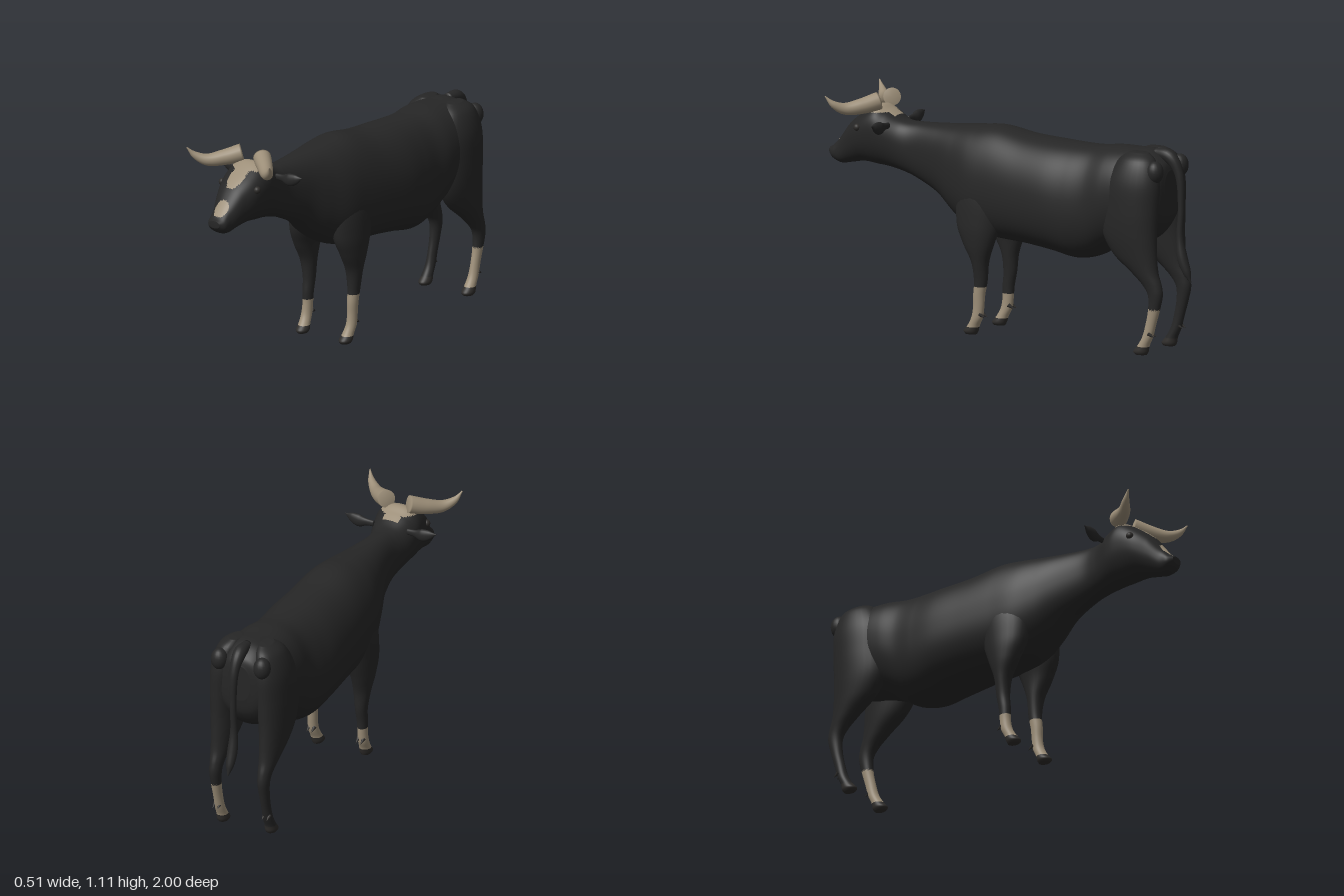
import * as THREE from 'three';

const paint = (name, color) => Object.assign(new THREE.MeshStandardMaterial({ color }), { name });

// Smooth value between rows of numbers, t from 0 to 1
function blend(rows, t) {
  const f = t * (rows.length - 1), i = Math.min(Math.floor(f), rows.length - 2), s = f - i;
  const row = k => rows[THREE.MathUtils.clamp(k, 0, rows.length - 1)];
  return rows[0].map((_, c) => {
    const [a, b, d, e] = [row(i - 1)[c], row(i)[c], row(i + 1)[c], row(i + 2)[c]];
    return b + 0.5 * s * (d - a + s * (2 * a - 5 * b + 4 * d - e + s * (3 * (b - d) + e - a)));
  });
}

// Closed skin over rings; pick(x, y, z) gives the material index of each face
function loft(steps, sides, ringPoint, materials, pick = () => 0) {
  const pts = [];
  for (let i = 0; i <= steps; i++)
    for (let j = 0; j < sides; j++) pts.push(ringPoint(i / steps, (j / sides) * Math.PI * 2));
  const middle = from => {
    const m = new THREE.Vector3();
    for (let j = 0; j < sides; j++) m.addScaledVector(pts[from + j], 1 / sides);
    return m;
  };
  const last = steps * sides, start = pts.length, end = start + 1;
  pts.push(middle(0), middle(last));
  const faces = materials.map(() => []);
  const add = (a, b, c) => {
    const m = pts[a].clone().add(pts[b]).add(pts[c]).divideScalar(3);
    faces[pick(m.x, m.y, m.z)].push(a, b, c);
  };
  for (let j = 0; j < sides; j++) {
    const k = (j + 1) % sides;
    add(start, k, j);
    add(end, last + j, last + k);
    for (let i = 0; i < steps; i++) {
      const r = i * sides, n = r + sides;
      add(r + j, r + k, n + j);
      add(r + k, n + k, n + j);
    }
  }
  const geo = new THREE.BufferGeometry().setFromPoints(pts);
  geo.setIndex(faces.flat());
  let offset = 0;
  faces.forEach((f, m) => { geo.addGroup(offset, f.length, m); offset += f.length; });
  geo.computeVertexNormals();
  return new THREE.Mesh(geo, materials);
}

// Tapered tube along rows of [x, y, z, radius]
function taper(rows, material, steps = 40, sides = 20) {
  const curve = new THREE.CatmullRomCurve3(rows.map(r => new THREE.Vector3(r[0], r[1], r[2])));
  const ts = Array.from({ length: steps + 1 }, (_, i) => i / steps);
  const frames = curve.computeFrenetFrames(steps);
  return loft(steps, sides, (t, a) => {
    const i = Math.round(t * steps), r = Math.max(blend(rows, ts[i])[3], 0.001);
    // frames follow arc length, so map back to the row parameter
    const u = curve.getUtoTmapping(ts[i]);
    const radius = Math.max(blend(rows, u)[3], 0.001) || r;
    return curve.getPoint(u)
      .addScaledVector(frames.normals[i], radius * Math.cos(a))
      .addScaledVector(frames.binormals[i], radius * Math.sin(a));
  }, [material]);
}

// Body sections: z, top, bottom, half width, upper widening
const BODY = [
  [-0.89, 0.88, 0.7, 0.06, 0], [-0.87, 0.925, 0.62, 0.12, 0], [-0.8, 0.972, 0.54, 0.16, 0],
  [-0.7, 0.975, 0.52, 0.185, 0], [-0.6, 0.975, 0.485, 0.195, -0.03], [-0.5, 0.965, 0.43, 0.195, -0.08],
  [-0.4, 0.965, 0.413, 0.208, -0.1], [-0.28, 0.97, 0.435, 0.217, -0.1], [-0.12, 0.98, 0.455, 0.21, -0.1],
  [0.04, 1.005, 0.465, 0.198, -0.1], [0.16, 0.998, 0.485, 0.185, -0.08], [0.27, 0.988, 0.55, 0.15, -0.05],
  [0.38, 0.98, 0.64, 0.112, 0], [0.5, 0.975, 0.7, 0.088, 0], [0.58, 0.98, 0.728, 0.092, 0.05],
  [0.66, 1.02, 0.745, 0.112, 0.12], [0.72, 1.043, 0.75, 0.117, 0.15], [0.8, 1.0, 0.757, 0.108, 0.15],
  [0.87, 0.945, 0.745, 0.082, 0.12], [0.93, 0.87, 0.735, 0.06, 0], [0.97, 0.825, 0.75, 0.052, 0],
  [0.995, 0.81, 0.775, 0.032, 0],
];

// Leg sections from the ground up: y, x, z, x radius, z radius
const FRONT_LEG = [
  [0.005, 0.13, 0.145, 0.022, 0.03], [0.02, 0.13, 0.145, 0.031, 0.037], [0.05, 0.132, 0.128, 0.027, 0.03],
  [0.09, 0.135, 0.108, 0.025, 0.029], [0.14, 0.135, 0.1, 0.024, 0.028], [0.2, 0.135, 0.097, 0.026, 0.03],
  [0.27, 0.135, 0.088, 0.03, 0.034], [0.36, 0.138, 0.09, 0.042, 0.044], [0.45, 0.14, 0.098, 0.055, 0.082],
  [0.55, 0.13, 0.1, 0.07, 0.12], [0.7, 0.11, 0.08, 0.08, 0.14], [0.85, 0.08, 0.04, 0.07, 0.1],
  [0.95, 0.05, 0.03, 0.04, 0.05],
];
const HIND_LEG = [
  [0, 0.13, -0.8, 0.022, 0.03], [0.015, 0.13, -0.8, 0.03, 0.039], [0.045, 0.13, -0.815, 0.027, 0.03],
  [0.09, 0.13, -0.838, 0.024, 0.027], [0.15, 0.13, -0.855, 0.022, 0.027], [0.22, 0.13, -0.872, 0.024, 0.03],
  [0.29, 0.13, -0.88, 0.028, 0.038], [0.34, 0.13, -0.862, 0.033, 0.05], [0.4, 0.13, -0.82, 0.045, 0.073],
  [0.48, 0.13, -0.767, 0.06, 0.118], [0.58, 0.13, -0.737, 0.072, 0.145], [0.7, 0.125, -0.737, 0.08, 0.15],
  [0.83, 0.115, -0.745, 0.082, 0.145], [0.93, 0.1, -0.76, 0.062, 0.1], [0.97, 0.08, -0.76, 0.03, 0.05],
];

export function createModel() {
  const cow = new THREE.Group();
  cow.name = 'cow';
  const coat = paint('black coat', 0x262626), cream = paint('cream', 0x9c8e78), hoof = paint('dark hoof', 0x2d2b29);
  const put = (name, mesh, parent = cow) => { mesh.name = name; parent.add(mesh); return mesh; };

  // Body, neck and head in one skin, with the blaze, poll patch and muzzle spot
  const power = (v, p) => Math.sign(v) * Math.abs(v) ** p;
  put('bodyAndHead', loft(220, 80, (t, a) => {
    const [z, top, bottom, w, widen] = blend(BODY, t), s = Math.sin(a);
    return new THREE.Vector3(w * power(Math.cos(a), 0.85) * (1 + widen * s),
      (top + bottom) / 2 + (top - bottom) / 2 * power(s, 0.9), z);
  }, [coat, cream], (x, y, z) => {
    const ax = Math.abs(x);
    const blaze = z > 0.62 && y > 0.94 && ax < Math.min(0.042, 0.018 + (y - 0.94) * 0.8);
    const poll = z > 0.66 && y > 1.012 && ax < 0.095;
    const spot = z > 0.88 && y > 0.825 && Math.hypot(x, y - 0.857) < 0.037;
    return blaze || poll || spot ? 1 : 0;
  }));

  // Legs with socks of different heights
  const addLeg = (name, rows, side, sock, clawZ) => {
    const leg = put(name, new THREE.Group());
    put('limb', loft(90, 28, (t, a) => {
      const [y, x, z, rx, rz] = blend(rows, t);
      return new THREE.Vector3(side * x + rx * Math.sin(a), y, z + rz * Math.cos(a));
    }, [coat, cream, hoof], (x, y) => (y < 0.042 ? 2 : y < sock ? 1 : 0)), leg);
    for (const dx of [-0.013, 0.013]) {
      const claw = put('dewclaw', new THREE.Mesh(new THREE.ConeGeometry(0.011, 0.035, 10), hoof), leg);
      claw.position.set(side * 0.133 + dx, 0.098, clawZ);
      claw.rotation.x = -2.1;
    }
  };
  addLeg('leftFrontLeg', FRONT_LEG, 1, 0.24, 0.073);
  addLeg('rightFrontLeg', FRONT_LEG, -1, 0.165, 0.073);
  addLeg('leftHindLeg', HIND_LEG, 1, 0.225, -0.867);
  addLeg('rightHindLeg', HIND_LEG, -1, 0, -0.867);

  // Paired parts
  for (const s of [1, -1]) {
    const side = s > 0 ? 'left' : 'right';
    put(side + 'Horn', taper([
      [s * 0.06, 1.066, 0.7, 0.043], [s * 0.12, 1.045, 0.755, 0.038], [s * 0.18, 1.035, 0.815, 0.029],
      [s * 0.225, 1.06, 0.855, 0.017], [s * 0.25, 1.1, 0.885, 0.003],
    ], cream));
    const ear = put(side + 'Ear', taper([
      [s * 0.09, 0.958, 0, 0.015], [s * 0.13, 0.958, 0, 0.018], [s * 0.17, 0.957, 0, 0.031],
      [s * 0.21, 0.967, 0, 0.023], [s * 0.246, 0.978, 0, 0.002],
    ], coat));
    ear.scale.z = 0.6;
    ear.position.z = 0.63;
    const eye = put(side + 'Eye', new THREE.Mesh(new THREE.SphereGeometry(0.018, 16, 12), hoof));
    eye.position.set(s * 0.105, 0.935, 0.795);
    const pin = put(side + 'PinBone', new THREE.Mesh(new THREE.SphereGeometry(0.042, 20, 14), coat));
    pin.position.set(s * 0.115, 0.885, -0.868);
    pin.scale.y = 1.3;
  }

  // Tail with a fuller tip
  put('tail', taper([
    [0, 0.957, -0.8, 0.024], [0, 0.945, -0.88, 0.032], [0, 0.87, -0.932, 0.022], [0, 0.7, -0.945, 0.016],
    [0, 0.56, -0.938, 0.018], [0, 0.46, -0.952, 0.025], [0, 0.39, -0.978, 0.019], [0, 0.345, -0.998, 0.003],
  ], coat, 60));
  return cow;
}
